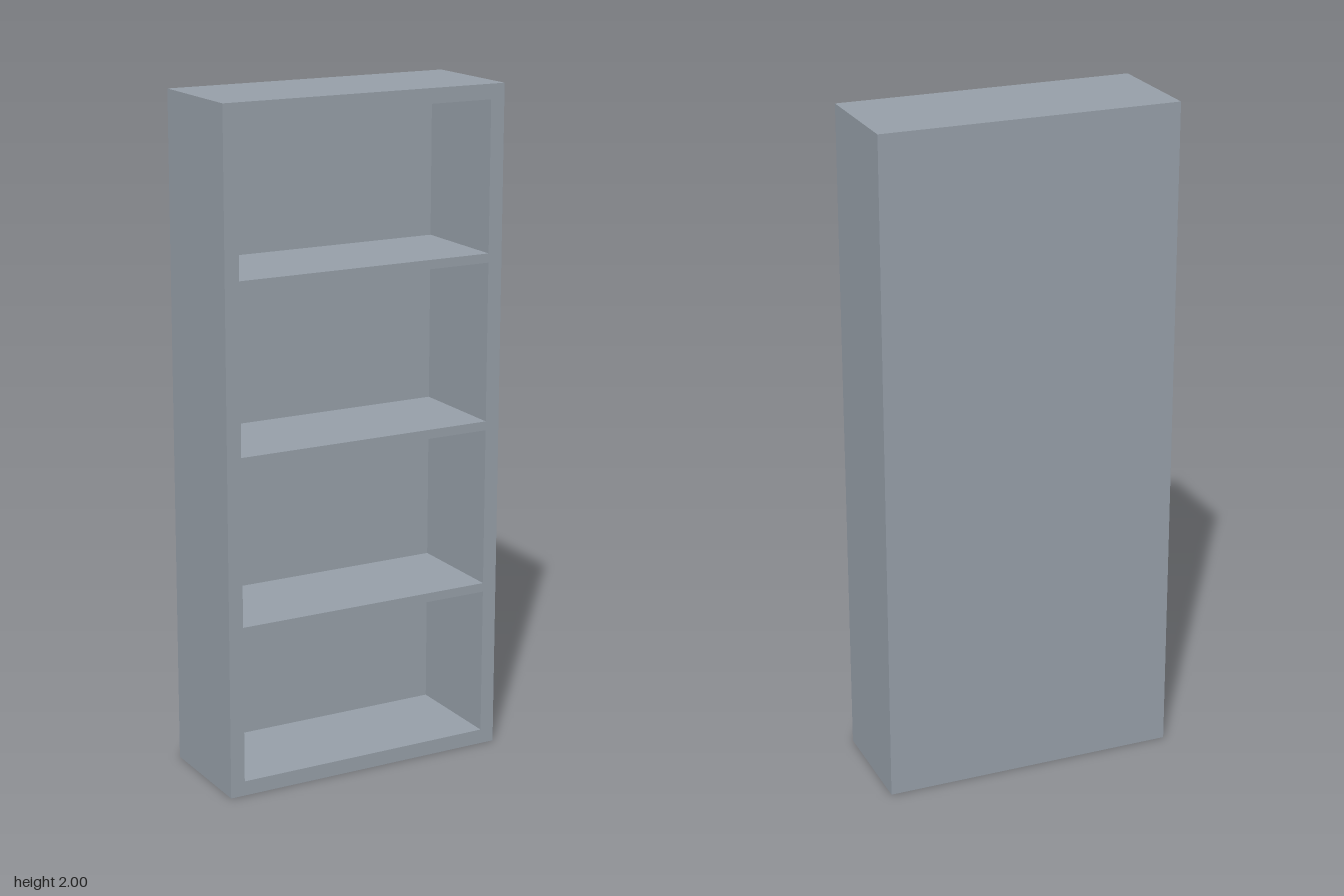
import * as THREE from 'three';

const WIDTH = 0.888, HEIGHT = 2, DEPTH = 0.346;
const WALL = 0.044, SHELF = 0.027, BACK = 0.022;
const BAYS = 4;

// Rectangle corners, counter-clockwise
function rectangle(x0, y0, x1, y1) {
  return [[x0, y0], [x1, y0], [x1, y1], [x0, y1]].map(([x, y]) => new THREE.Vector2(x, y));
}

export function createModel() {
  const group = new THREE.Group();
  group.name = 'bookcase';
  const material = new THREE.MeshStandardMaterial({ color: 0x969fa8 });

  // Sides, top, bottom and shelves: one outline with an opening per bay
  const outline = new THREE.Shape(rectangle(-WIDTH / 2, 0, WIDTH / 2, HEIGHT));
  const inner = WIDTH / 2 - WALL;
  const pitch = HEIGHT / BAYS;
  for (let i = 0; i < BAYS; i++) {
    const bottom = i === 0 ? WALL : i * pitch + SHELF / 2;
    const top = i === BAYS - 1 ? HEIGHT - WALL : (i + 1) * pitch - SHELF / 2;
    outline.holes.push(new THREE.Path(rectangle(-inner, bottom, inner, top).reverse()));
  }
  const frame = new THREE.Mesh(
    new THREE.ExtrudeGeometry(outline, { depth: DEPTH - BACK, bevelEnabled: false }),
    material
  );
  frame.name = 'frameAndShelves';
  frame.position.z = -DEPTH / 2 + BACK;
  group.add(frame);

  // Solid back closing all the bays
  const back = new THREE.Mesh(new THREE.BoxGeometry(WIDTH, HEIGHT, BACK), material);
  back.name = 'backPanel';
  back.position.set(0, HEIGHT / 2, -DEPTH / 2 + BACK / 2);
  group.add(back);

  return group;
}
